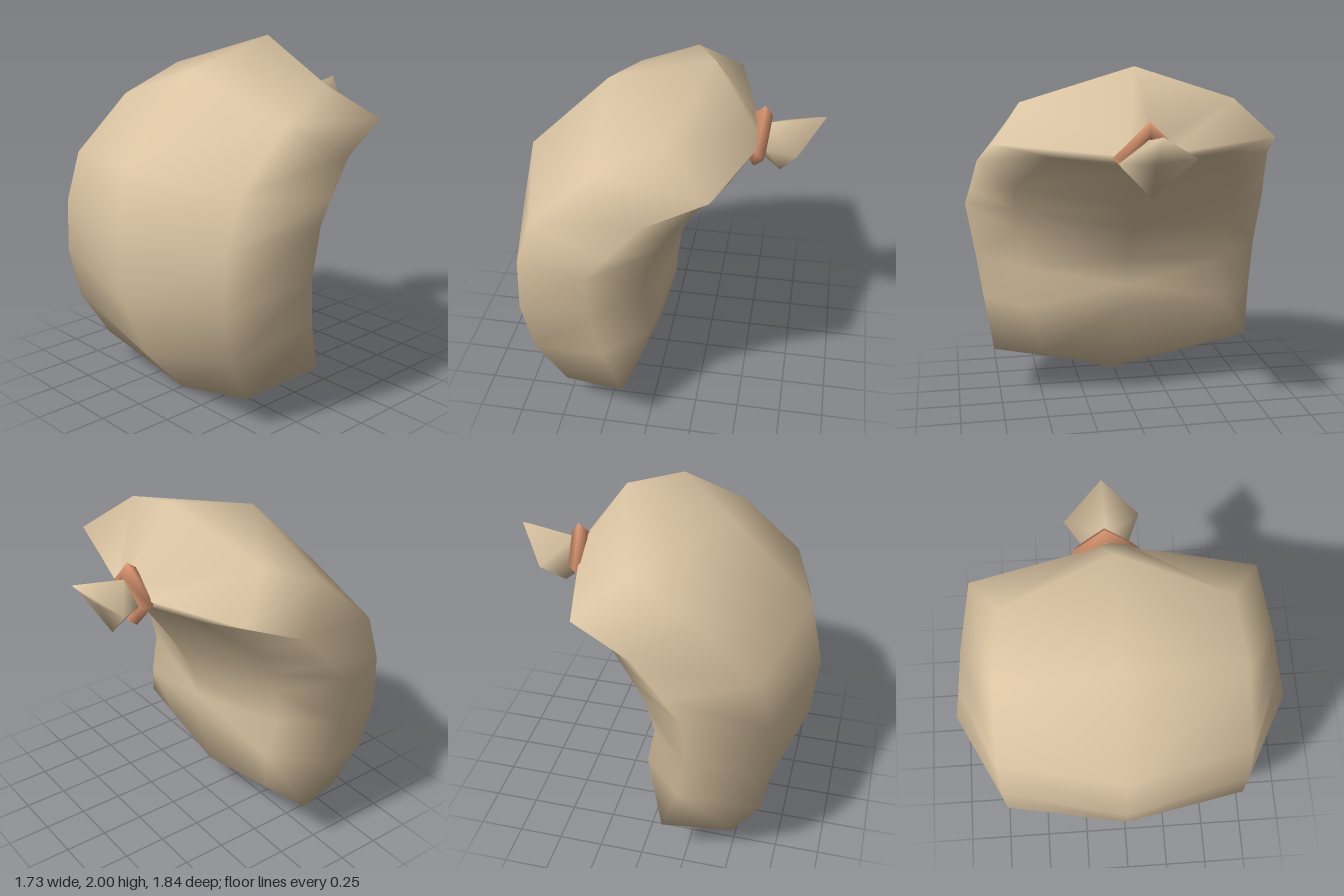
import * as THREE from 'three';

const cloth = new THREE.MeshStandardMaterial({ color: 0xdac4a2, side: THREE.DoubleSide });
const cord = new THREE.MeshStandardMaterial({ color: 0xe09a74 });

// Joins closed loops of points into a skin, with a centre point closing each end
function loft(loops, startCentre, endCentre) {
  const n = loops[0].length;
  const points = [...loops.flat(), startCentre, endCentre];
  const start = points.length - 2, end = points.length - 1, last = (loops.length - 1) * n;
  const index = [];
  for (let j = 0; j < n; j++) {
    const k = (j + 1) % n;
    for (let i = 0; i < last; i += n) {
      // diagonals mirror across the middle of the loop
      if (j < n / 2) index.push(i + j, i + k, i + n + k, i + j, i + n + k, i + n + j);
      else index.push(i + j, i + k, i + n + j, i + k, i + n + k, i + n + j);
    }
    index.push(start, k, j, end, last + j, last + k);
  }
  const geometry = new THREE.BufferGeometry();
  geometry.setAttribute('position', new THREE.Float32BufferAttribute(points.flat(), 3));
  geometry.setIndex(index);
  geometry.computeVertexNormals();
  return geometry;
}

// Half section (outer, outer corner, side, inner corner, inner) mirrored in z
function section(o, oc, s, ic, i) {
  const back = ([x, y, z]) => [x, y, -z];
  return [[...o, 0], oc, s, ic, [...i, 0], back(ic), back(s), back(oc)];
}

function addMesh(group, name, geometry, material) {
  const mesh = new THREE.Mesh(geometry, material);
  mesh.name = name;
  group.add(mesh);
  return mesh;
}

export function createModel() {
  const group = new THREE.Group();
  group.name = 'tiedSack';

  // Bent sack, from the foot up to the gathered neck
  const body = [
    section([-0.43, 0.005], [-0.50, 0.18, 0.62], [-0.13, 0.30, 0.78], [-0.095, 0.265, 0.48], [-0.04, 0.22]),
    section([-0.68, 0.28], [-0.66, 0.45, 0.67], [-0.23, 0.60, 0.83], [0.00, 0.59, 0.58], [0.05, 0.58]),
    section([-0.83, 0.63], [-0.72, 0.75, 0.69], [-0.28, 0.87, 0.87], [-0.05, 0.82, 0.60], [0.04, 0.71]),
    section([-0.87, 1.02], [-0.71, 1.05, 0.69], [-0.28, 1.17, 0.92], [-0.01, 1.05, 0.64], [0.08, 0.88]),
    section([-0.79, 1.40], [-0.62, 1.33, 0.69], [-0.17, 1.29, 0.89], [0.06, 1.20, 0.65], [0.18, 1.08]),
    section([-0.33, 1.85], [-0.28, 1.64, 0.67], [0.00, 1.47, 0.85], [0.14, 1.34, 0.65], [0.27, 1.22]),
    section([0.25, 2.00], [0.08, 1.80, 0.61], [0.33, 1.61, 0.78], [0.39, 1.54, 0.48], [0.43, 1.45]),
    section([0.50, 1.65], [0.50, 1.62, 0.07], [0.50, 1.56, 0.15], [0.49, 1.51, 0.08], [0.48, 1.48]),
  ];
  addMesh(group, 'sackBody', loft(body, [-0.30, 0.075, 0], [0.51, 1.56, 0]), cloth);

  // Cord around the neck
  const ring = new THREE.TorusGeometry(0.145, 0.048, 4, 4).rotateY(Math.PI / 2);
  const band = addMesh(group, 'neckCord', ring, cord);
  band.position.set(0.505, 1.545, -0.03);
  band.rotation.z = -0.12;

  // Flared cloth end beyond the cord
  const tuft = [
    [[0.50, 1.63, -0.02], [0.50, 1.54, 0.08], [0.50, 1.44, -0.02], [0.50, 1.54, -0.12]],
    [[0.55, 1.64, -0.02], [0.55, 1.54, 0.10], [0.55, 1.42, -0.02], [0.55, 1.54, -0.16]],
    [[0.86, 1.70, -0.03], [0.72, 1.55, 0.17], [0.63, 1.35, -0.02], [0.69, 1.56, -0.25]],
  ];
  addMesh(group, 'neckTuft', loft(tuft, [0.48, 1.54, -0.02], [0.71, 1.54, -0.03]), cloth);

  return group;
}
